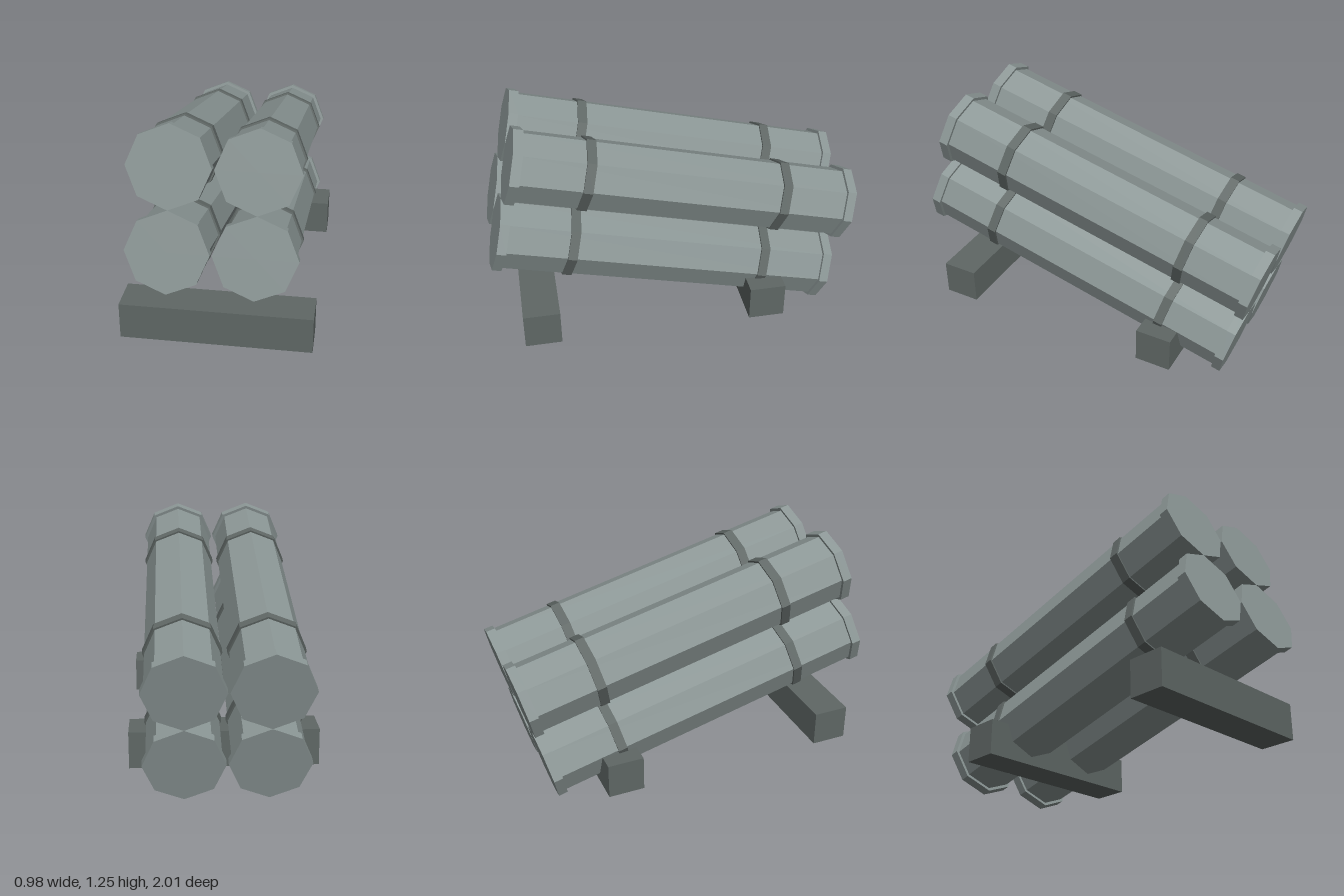
import * as THREE from 'three';

const tubeGrey = new THREE.MeshStandardMaterial({ color: 0x8a9594, flatShading: true });
tubeGrey.name = 'tubeGrey';
const darkGrey = new THREE.MeshStandardMaterial({ color: 0x5f6765, flatShading: true });
darkGrey.name = 'darkGrey';

const LENGTH = 1.86;   // overall canister length
const CAP = 0.05;      // end cap thickness
const SPACING = 0.207; // half distance between canister axes

// Octagonal prism lying along z, with a corner pointing up
function prism(name, radius, length, z, material) {
  const geometry = new THREE.CylinderGeometry(radius, radius, length, 8);
  geometry.rotateX(Math.PI / 2);
  const mesh = new THREE.Mesh(geometry, material);
  mesh.name = name;
  mesh.position.z = z;
  return mesh;
}

// One canister: body, two end caps, two clamp rings
function canister() {
  const group = new THREE.Group();
  group.name = 'canister';
  group.add(prism('body', 0.19, LENGTH - CAP, 0, tubeGrey));
  for (const s of [1, -1]) {
    const end = s > 0 ? 'front' : 'back';
    group.add(prism(end + 'Cap', 0.207, CAP, s * (LENGTH - CAP) / 2, tubeGrey));
    group.add(prism(end + 'Ring', 0.2, 0.05, s * 0.533, darkGrey));
  }
  return group;
}

export function createModel() {
  const model = new THREE.Group();
  model.name = 'canisterLauncher';

  // Two by two bundle, tilted up at the front
  const bundle = new THREE.Group();
  bundle.name = 'canisterBundle';
  for (const x of [-0.212, 0.212]) {
    for (const y of [-SPACING, SPACING]) {
      const c = canister();
      c.position.set(x, y, 0);
      bundle.add(c);
    }
  }
  bundle.position.y = 0.628;
  bundle.rotation.x = THREE.MathUtils.degToRad(-14);
  model.add(bundle);

  // Cross beams underneath
  for (const [name, z] of [['frontBeam', 0.757], ['backBeam', -0.482]]) {
    const beam = new THREE.Mesh(new THREE.BoxGeometry(0.984, 0.196, 0.197), darkGrey);
    beam.name = name;
    beam.position.set(0, 0.174, z);
    model.add(beam);
  }
  return model;
}
